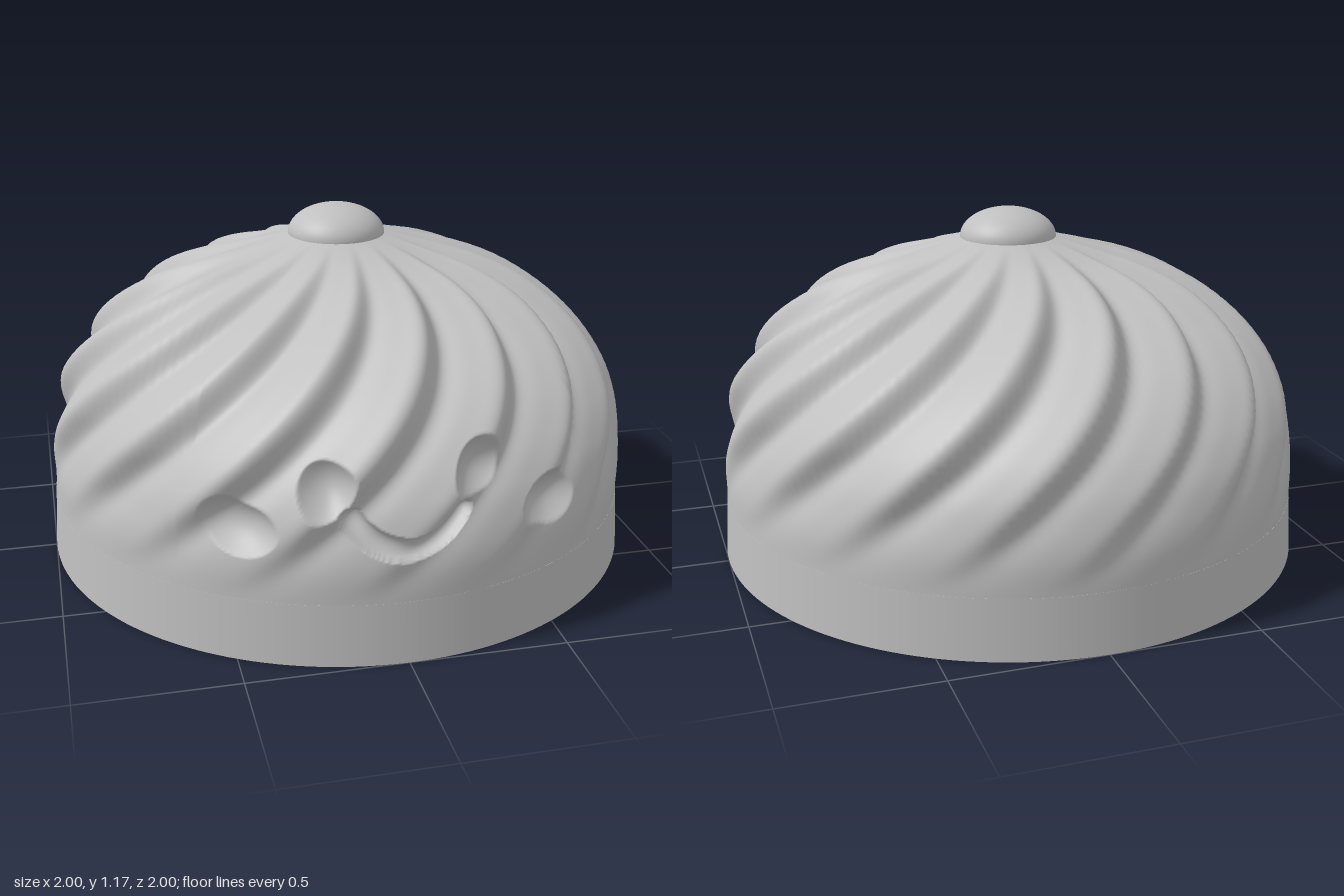
import * as THREE from 'three';
import { mergeVertices } from 'three/addons/utils/BufferGeometryUtils.js';

const RIDGES = 16, TWIST = THREE.MathUtils.degToRad(65), RIDGE_DEPTH = 0.029;
const { degToRad, smoothstep, clamp } = THREE.MathUtils;

// Mean outline of the dome, from just inside the base ring up to the knob
const profile = new THREE.SplineCurve([
  [0.988, 0.19], [0.982, 0.3], [0.967, 0.4], [0.947, 0.5], [0.912, 0.6], [0.85, 0.7],
  [0.757, 0.795], [0.62, 0.892], [0.47, 0.965], [0.31, 1.02], [0.15, 1.07],
].map(([r, y]) => new THREE.Vector2(r, y)));

// Bowl-shaped hollows as [x, y, half width, half height]
const bowls = [
  [-0.24, 0.545, 0.077, 0.085], [0.24, 0.562, 0.08, 0.087], // eyes
  [-0.487, 0.425, 0.1, 0.086], [0.49, 0.412, 0.103, 0.084], // cheeks
];

// Radius after pressing the face into the dome: r is the ridged radius, mean the plain one
function pressFace(r, mean, phi, y) {
  const x = r * Math.sin(phi);
  let result = r;
  // Bowls cut the ridges to a common depth, so their rims follow the swirl
  for (const [cx, cy, rx, ry] of bowls) {
    const d = 1 - ((x - cx) / rx) ** 2 - ((y - cy) / ry) ** 2;
    if (d > -0.5) result = Math.min(result, mean - 0.055 * d);
  }
  // Smile: a round groove along an arc with rounded ends
  const cy = 0.565, R = 0.2, half = degToRad(57);
  const a = clamp(Math.atan2(x, cy - y), -half, half);
  const dist = Math.hypot(x - R * Math.sin(a), y - cy + R * Math.cos(a)) / 0.036;
  if (dist < 1) result = Math.min(result, r - 0.04 * Math.sqrt(1 - dist * dist));
  return result;
}

// Columns are packed closer together around the face
function columnAngle(u) {
  const v = u * 2, s = Math.sign(v), a = Math.abs(v);
  return s * degToRad(a < 0.56 ? a / 0.56 * 42 : 42 + (a - 0.56) / 0.44 * 138);
}

// Twisted dome: each ridge rises gently and drops steeply on one side
function domeGeometry() {
  const plane = new THREE.PlaneGeometry(1, 1, 400, 170);
  plane.deleteAttribute('uv');
  plane.deleteAttribute('normal');
  const pos = plane.attributes.position;
  const crest = degToRad(15);
  for (let i = 0; i < pos.count; i++) {
    const phi = columnAngle(pos.getX(i));
    const t = clamp(pos.getY(i) + 0.5, 0, 1);
    const p = profile.getPoint(t), tan = profile.getTangent(t);
    const fade = smoothstep(p.y, 0.19, 0.58) * smoothstep(p.x, 0.15, 0.75);
    const theta = RIDGES * (phi - crest - TWIST * (p.y - 0.63));
    const wave = RIDGE_DEPTH * fade * Math.cos(theta - 0.5 * Math.cos(theta));
    let r = p.x + wave * tan.y;
    const y = p.y - wave * tan.x;
    if (Math.cos(phi) > 0) r = pressFace(r, p.x, phi, y);
    pos.setXYZ(i, r * Math.sin(phi), y, r * Math.cos(phi));
  }
  const geometry = mergeVertices(plane, 1e-5);
  geometry.computeVertexNormals();
  return geometry;
}

export function createModel() {
  const group = new THREE.Group();
  group.name = 'smilingBun';
  const grey = new THREE.MeshStandardMaterial({ color: 0xc0c0c0 });
  grey.name = 'plain grey';

  const add = (name, geometry) => {
    const mesh = new THREE.Mesh(geometry, grey);
    mesh.name = name;
    group.add(mesh);
    return mesh;
  };

  // Smooth base ring with a closed underside
  add('base', new THREE.CylinderGeometry(0.988, 1, 0.2, 160)).position.y = 0.1;

  add('swirledDome', domeGeometry());

  // Flattened knob on top
  const knob = add('knob', new THREE.SphereGeometry(0.163, 64, 20, 0, Math.PI * 2, 0, Math.PI / 2));
  knob.scale.y = 0.6;
  knob.position.y = 1.068;

  // Closed underside of the knob
  const knobBase = add('knobUnderside', new THREE.CircleGeometry(0.163, 64));
  knobBase.rotation.x = Math.PI / 2;
  knobBase.position.y = 1.068;

  return group;
}
